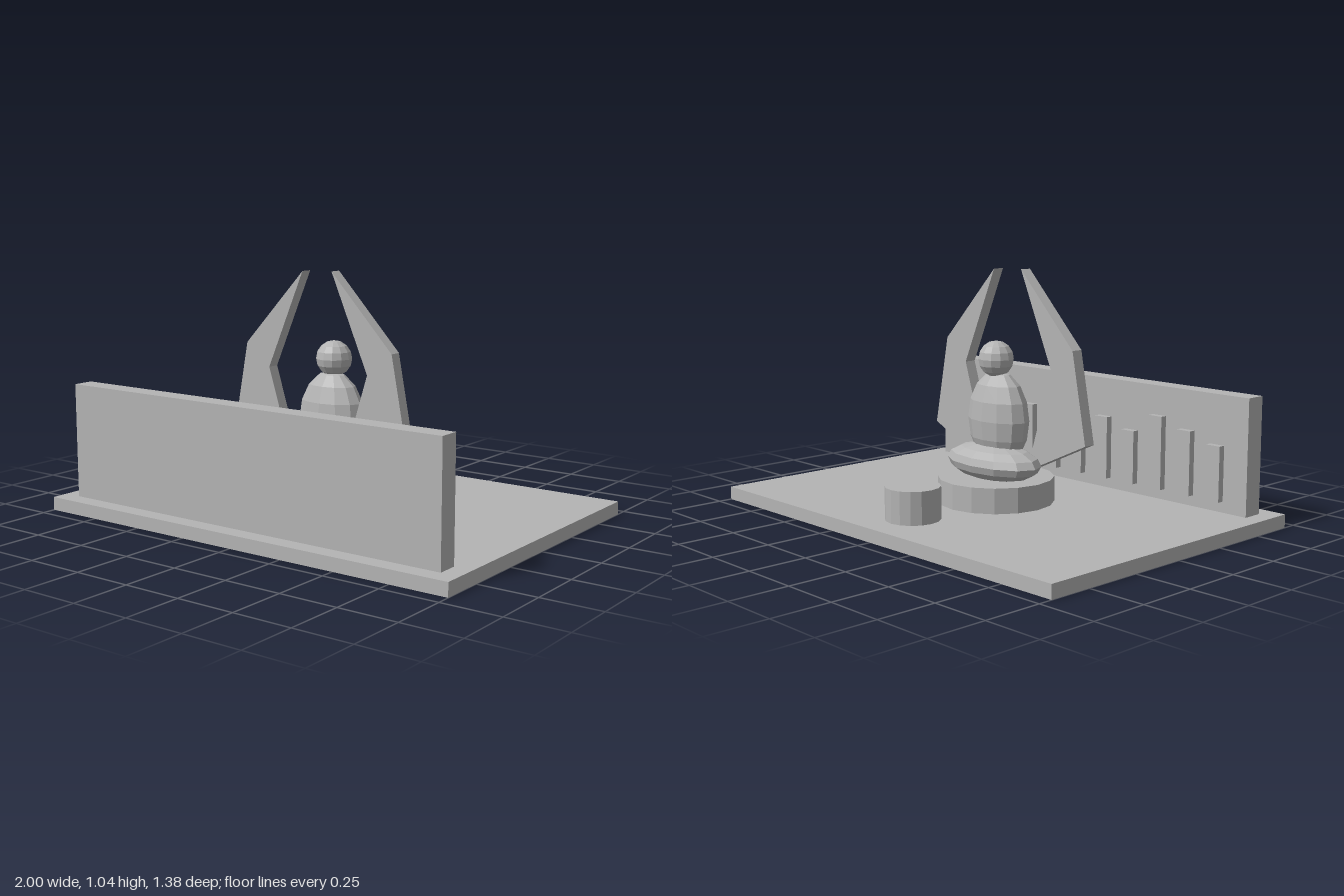
import * as THREE from 'three';

export function createModel() {
  const root = new THREE.Group();
  const stone = new THREE.MeshStandardMaterial({ color: 0xb4b4b4 });
  stone.name = 'stone grey';
  stone.flatShading = true;

  const add = (name, geometry, x, y, z, parent = root) => {
    const mesh = new THREE.Mesh(geometry, stone);
    mesh.name = name;
    mesh.position.set(x, y, z);
    parent.add(mesh);
    return mesh;
  };
  // Box placed by the height of its underside
  const box = (name, w, h, d, x, bottom, z, parent) =>
    add(name, new THREE.BoxGeometry(w, h, d), x, bottom + h / 2, z, parent);
  const ellipsoid = (name, rx, ry, rz, y, z, parent) =>
    add(name, new THREE.SphereGeometry(1, 12, 8).scale(rx, ry, rz), 0, y, z, parent);

  // Ground slab and front wall
  const floor = 0.057;
  box('base', 2, floor, 1.38, 0, 0, 0);
  box('wall', 1.845, 0.493, 0.09, 0, floor, 0.57);

  // Eleven raised bars on the inner wall, in three repeating heights
  const bars = new THREE.Group();
  bars.name = 'wallBars';
  root.add(bars);
  for (let i = 0; i < 11; i++) {
    const height = 0.235 + 0.042 * (i % 3);
    box('wallBar', 0.07, height, 0.03, (i - 5) * 0.154, 0.104, 0.51, bars);
  }

  // Round pedestal and the small drum behind it
  add('pedestal', new THREE.CylinderGeometry(0.25, 0.25, 0.108, 16), 0, floor + 0.054, 0);
  add('drum', new THREE.CylinderGeometry(0.115, 0.115, 0.138, 16), 0, floor + 0.069, -0.465);

  // Seated figure
  const figure = new THREE.Group();
  figure.name = 'seatedFigure';
  root.add(figure);
  ellipsoid('foldedLegs', 0.25, 0.08, 0.14, 0.23, -0.014, figure);
  ellipsoid('torso', 0.157, 0.21, 0.1, 0.41, 0.014, figure);
  ellipsoid('head', 0.077, 0.077, 0.077, 0.67, 0, figure);

  // Pair of bent blades, mirrored and staggered in depth
  const outline = [[0.095, 0.185], [0.43, 0.34], [0.355, 0.727], [0.055, 1.045], [0.235, 0.63]];
  for (const [side, name, z] of [[1, 'leftBlade', 0.04], [-1, 'rightBlade', 0.092]]) {
    const shape = new THREE.Shape(outline.map(([x, y]) => new THREE.Vector2(side * x, y)));
    add(name, new THREE.ExtrudeGeometry(shape, { depth: 0.053, bevelEnabled: false }), 0, 0, z);
  }

  return root;
}
